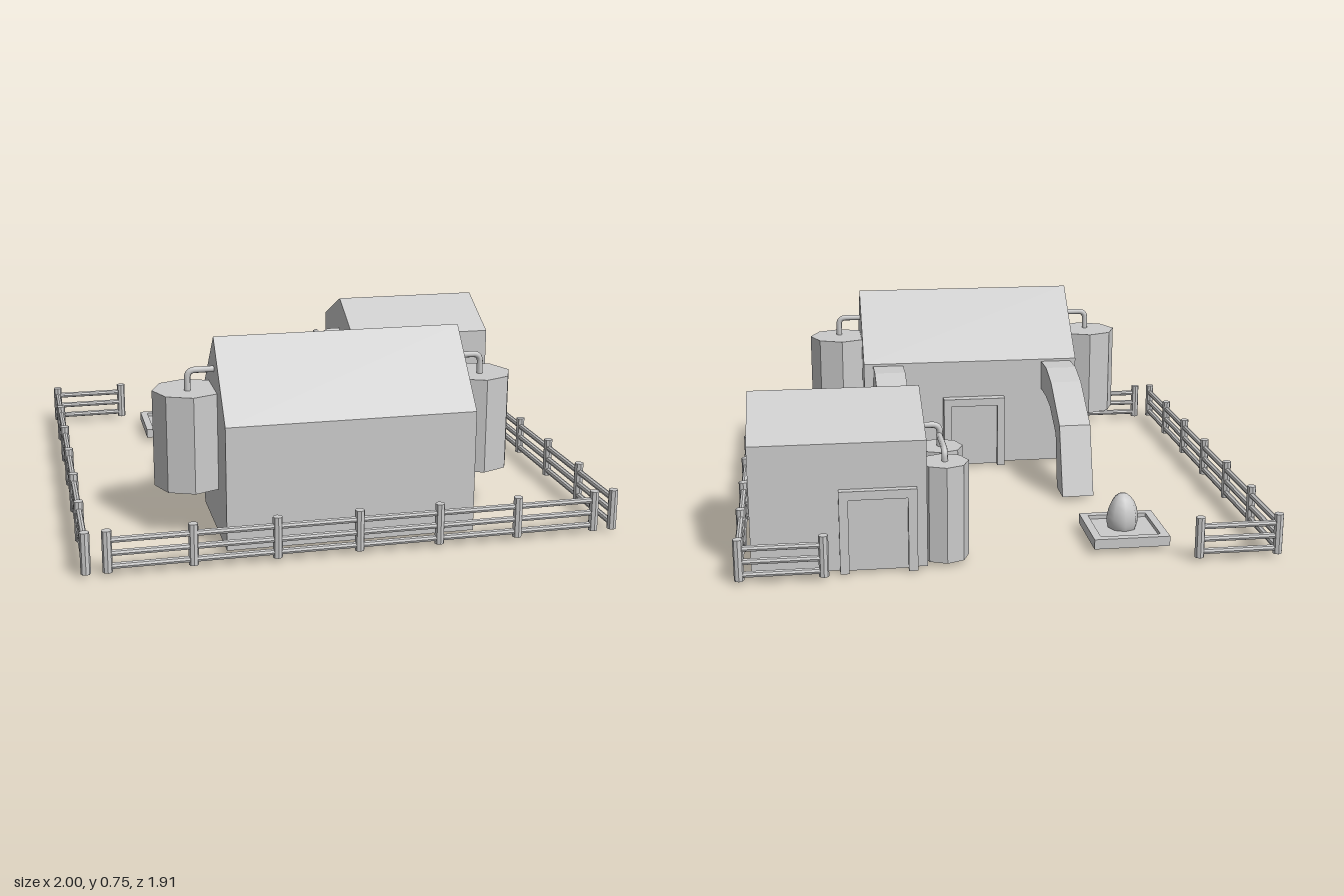
import * as THREE from 'three';

const mat = new THREE.MeshStandardMaterial({ color: 0xcccccc, flatShading: true, side: THREE.DoubleSide });
const smooth = new THREE.MeshStandardMaterial({ color: 0xcccccc });

function add(parent, name, geometry, x = 0, y = 0, z = 0, material = mat) {
  const mesh = new THREE.Mesh(geometry, material);
  mesh.name = name;
  mesh.position.set(x, y, z);
  parent.add(mesh);
  return mesh;
}

function group(parent, name) {
  const g = new THREE.Group();
  g.name = name;
  parent.add(g);
  return g;
}

// Extrudes a side profile of [z, y] points from x0 to x1
function extrudeAlongX(profile, x0, x1) {
  const shape = new THREE.Shape(profile.map(([z, y]) => new THREE.Vector2(-z, y)));
  const geo = new THREE.ExtrudeGeometry(shape, { depth: x1 - x0, bevelEnabled: false });
  return geo.rotateY(Math.PI / 2).translate(x0, 0, 0);
}

// Gabled block with its ridge along x
function building(parent, name, x0, x1, zBack, zFront, zRidge, eaves, ridge) {
  const profile = [[zFront, 0.01], [zBack, 0.01], [zBack, eaves], [zRidge, ridge], [zFront, eaves]];
  add(parent, name, extrudeAlongX(profile, x0, x1));
}

// Door on a back wall: two posts, a lintel and a recessed panel
function door(parent, x0, x1, zOut) {
  const g = group(parent, 'door');
  const depth = 0.06, post = 0.033, zc = zOut + depth / 2, xc = (x0 + x1) / 2;
  for (const x of [x0 + post / 2, x1 - post / 2]) {
    add(g, 'doorPost', new THREE.BoxGeometry(post, 0.31, depth), x, 0.16, zc);
  }
  add(g, 'doorLintel', new THREE.BoxGeometry(x1 - x0, post, depth), xc, 0.315 - post / 2, zc);
  add(g, 'doorPanel', new THREE.BoxGeometry(x1 - x0 - 2 * post, 0.272, 0.035), xc, 0.146, zOut + 0.038);
}

function tank(parent, x, z, radius, bottom, top) {
  add(parent, 'tank', new THREE.CylinderGeometry(radius, radius, top - bottom, 8), x, (bottom + top) / 2, z);
}

// Pipe through three points with a rounded elbow at the middle one
function elbow(path, corner, end, r) {
  const from = path.currentEnd;
  const a = corner.clone().add(from.clone().sub(corner).setLength(r));
  const b = corner.clone().add(end.clone().sub(corner).setLength(r));
  path.add(new THREE.LineCurve3(from, a));
  path.add(new THREE.QuadraticBezierCurve3(a, corner, b));
  path.currentEnd = b;
}
function pipe(parent, points) {
  const pts = points.map(p => new THREE.Vector3(...p));
  const path = new THREE.CurvePath();
  path.currentEnd = pts[0];
  for (let i = 1; i < pts.length - 1; i++) elbow(path, pts[i], pts[i + 1], 0.03);
  path.add(new THREE.LineCurve3(path.currentEnd, pts[pts.length - 1]));
  add(parent, 'pipe', new THREE.TubeGeometry(path, 40, 0.012, 8), 0, 0, 0, smooth);
}

// Straight fence run of posts and three rails between two [x, z] ends
function fence(parent, [xa, za], [xb, zb], spans) {
  const g = group(parent, 'fence');
  for (let i = 0; i <= spans; i++) {
    const t = i / spans;
    add(g, 'fencePost', new THREE.CylinderGeometry(0.018, 0.018, 0.154, 8),
      xa + (xb - xa) * t, 0.092, za + (zb - za) * t);
  }
  const length = Math.hypot(xb - xa, zb - za);
  for (const y of [0.036, 0.084, 0.133]) {
    const rail = new THREE.CylinderGeometry(0.012, 0.012, length, 8).rotateZ(Math.PI / 2);
    add(g, 'fenceRail', rail, (xa + xb) / 2, y, (za + zb) / 2).rotation.y = Math.atan2(za - zb, xb - xa);
  }
}

export function createModel() {
  const model = new THREE.Group();
  model.name = 'farmyard';

  // Main barn
  const barn = group(model, 'mainBarn');
  building(barn, 'barnBody', -0.467, 0.47, 0.303, 0.828, 0.583, 0.475, 0.75);
  door(barn, -0.145, 0.125, 0.258);
  for (const s of [-1, 1]) {
    tank(barn, s * 0.558, 0.556, 0.136, 0.185, 0.552);
    pipe(barn, [[s * 0.565, 0.53, 0.581], [s * 0.565, 0.628, 0.581], [s * 0.44, 0.628, 0.581]]);
  }

  // Curved chutes behind the barn
  const chute = [[0.32, 0.465], [0.18, 0.465], [0.064, 0.43], [-0.141, 0.296], [-0.232, 0.016],
    [-0.106, 0.016], [-0.06, 0.238], [0.085, 0.322], [0.19, 0.34], [0.32, 0.342]];
  for (const x of [-0.443, 0.3]) add(barn, 'chute', extrudeAlongX(chute, x, x + 0.13));

  // Small shed with paired tanks
  const shed = group(model, 'shed');
  building(shed, 'shedBody', 0.31, 0.94, -0.885, -0.36, -0.605, 0.485, 0.613);
  door(shed, 0.347, 0.626, -0.913);
  for (const z of [-0.798, -0.613]) tank(shed, 0.238, z, 0.089, 0.015, 0.378);
  pipe(shed, [[0.235, 0.36, -0.61], [0.235, 0.46, -0.61], [0.33, 0.46, -0.61]]);
  pipe(shed, [[0.237, 0.36, -0.80], [0.237, 0.42, -0.80], [0.237, 0.42, -0.61]]);

  // Nest tray: raised rim, sunken floor and egg
  const nest = group(model, 'nest');
  nest.position.set(-0.46, 0, -0.69);
  for (const s of [-1, 1]) {
    add(nest, 'trayRim', new THREE.BoxGeometry(0.288, 0.038, 0.03), 0, 0.039, s * 0.129);
    add(nest, 'trayRim', new THREE.BoxGeometry(0.03, 0.038, 0.228), s * 0.129, 0.039, 0);
  }
  add(nest, 'trayFloor', new THREE.BoxGeometry(0.23, 0.014, 0.23), 0, 0.036, 0);
  const eggProfile = [];
  for (let i = 0; i <= 10; i++) {
    const a = Math.PI * i / 10;
    const r = i % 10 ? 0.061 * Math.sin(a) * (1 + 0.12 * Math.cos(a)) : 0;
    eggProfile.push(new THREE.Vector2(r, 0.09 - 0.09 * Math.cos(a)));
  }
  add(nest, 'egg', new THREE.LatheGeometry(eggProfile, 8), 0.002, 0, 0.018, smooth);

  // Perimeter fence, open at the back
  fence(model, [-0.905, 0.935], [0.905, 0.935], 6);
  for (const s of [-1, 1]) {
    fence(model, [s * 0.981, 0.935], [s * 0.981, -0.942], 6);
    fence(model, [s * 0.981, -0.942], [s * 0.684, -0.942], 1);
  }
  return model;
}
